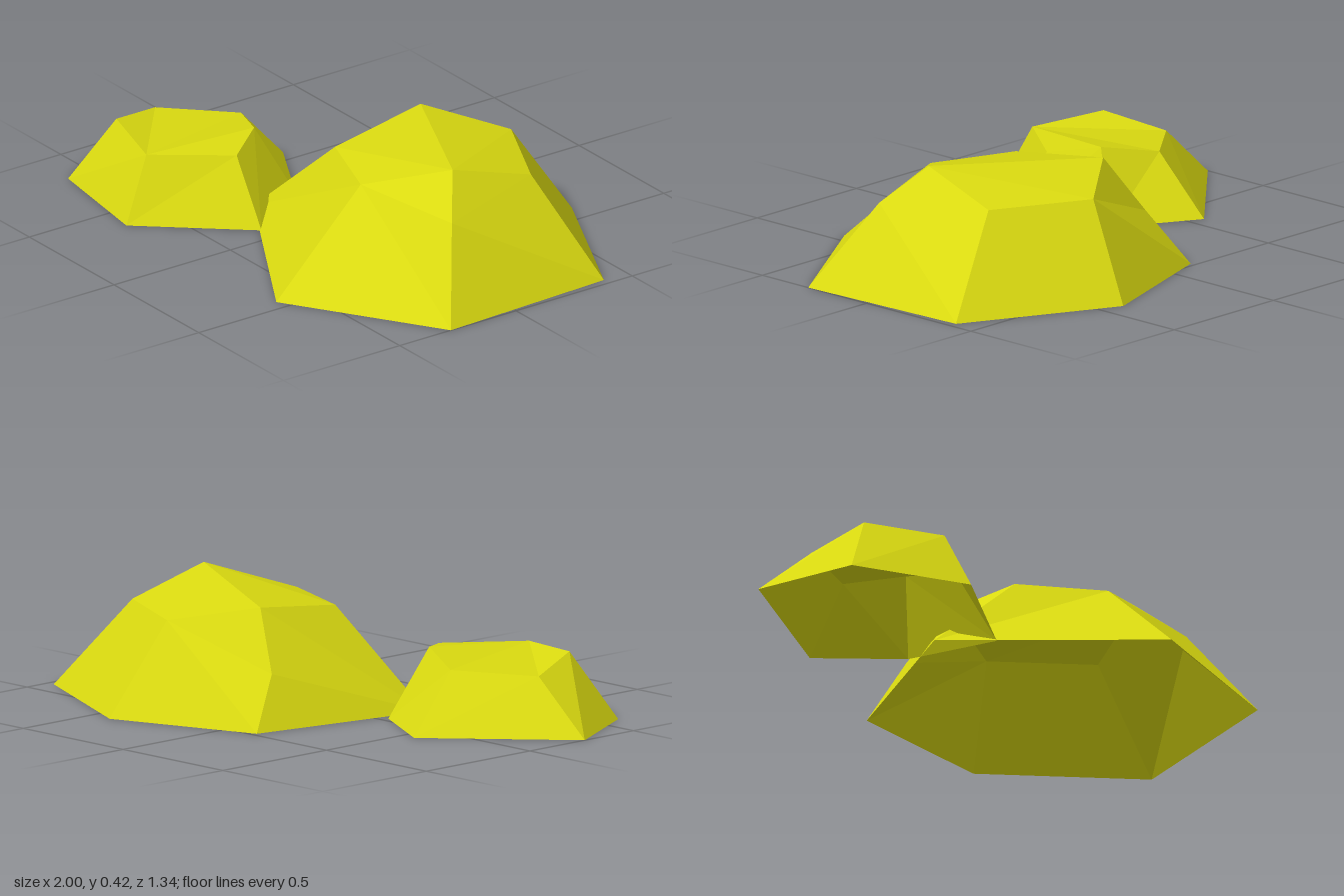
import * as THREE from 'three';

// Faceted open shell: each face is a polygon of point indices, fanned from its first corner
function shell(name, points, faces, material) {
  const positions = [];
  for (const face of faces) {
    for (let k = 1; k < face.length - 1; k++) {
      for (const i of [face[0], face[k], face[k + 1]]) positions.push(...points[i]);
    }
  }
  const geometry = new THREE.BufferGeometry();
  geometry.setAttribute('position', new THREE.Float32BufferAttribute(positions, 3));
  geometry.computeVertexNormals();
  const mesh = new THREE.Mesh(geometry, material);
  mesh.name = name;
  return mesh;
}

// Places a footprint of [x, z] pairs on the ground
const ground = (pairs) => pairs.map(([x, z]) => [x, 0, z]);

export function createModel() {
  const group = new THREE.Group();
  group.name = 'mounds';
  const yellow = new THREE.MeshStandardMaterial({ color: 0xdada10 });
  yellow.name = 'yellow';
  yellow.flatShading = true;
  yellow.side = THREE.DoubleSide;

  // Large mound: footprint 0-5, shoulder ring 6-11, crest ends 12 and 13
  const largePoints = [
    ...ground([[0.41, -0.67], [0.97, -0.4], [1, 0.28], [0.45, 0.63], [-0.26, 0.21], [-0.13, -0.48]]),
    [0.34, 0.33, -0.46], [0.69, 0.33, -0.29], [0.8, 0.295, 0.13],
    [0.42, 0.335, 0.245], [0.11, 0.335, 0.13], [-0.055, 0.18, -0.335],
    [0.08, 0.385, -0.26], [0.66, 0.42, 0.025],
  ];
  const largeFaces = [
    [1, 0, 6, 7],
    [8, 2, 1, 7, 13],
    [9, 3, 2, 8, 13],
    [9, 10, 4, 3],
    [4, 10, 12, 11, 5],
    [6, 0, 5, 11, 12],
    [13, 7, 6, 12, 10, 9],
  ];
  group.add(shell('largeMound', largePoints, largeFaces, yellow));

  // Small mound: footprint 0-5, top ring 6-11
  const smallPoints = [
    ...ground([[-0.56, -0.135], [-0.26, 0.03], [-0.07, 0.315], [-0.38, 0.67], [-0.82, 0.6], [-1, 0.265]]),
    [-0.54, 0.21, 0.06], [-0.34, 0.25, 0.15], [-0.23, 0.225, 0.305],
    [-0.42, 0.225, 0.555], [-0.7, 0.24, 0.48], [-0.78, 0.195, 0.255],
  ];
  const smallFaces = [[9, 8, 7, 6, 11, 10]];
  for (let i = 0; i < 6; i++) {
    const j = (i + 1) % 6;
    smallFaces.push([j, i, 6 + i, 6 + j]);
  }
  group.add(shell('smallMound', smallPoints, smallFaces, yellow));

  return group;
}
